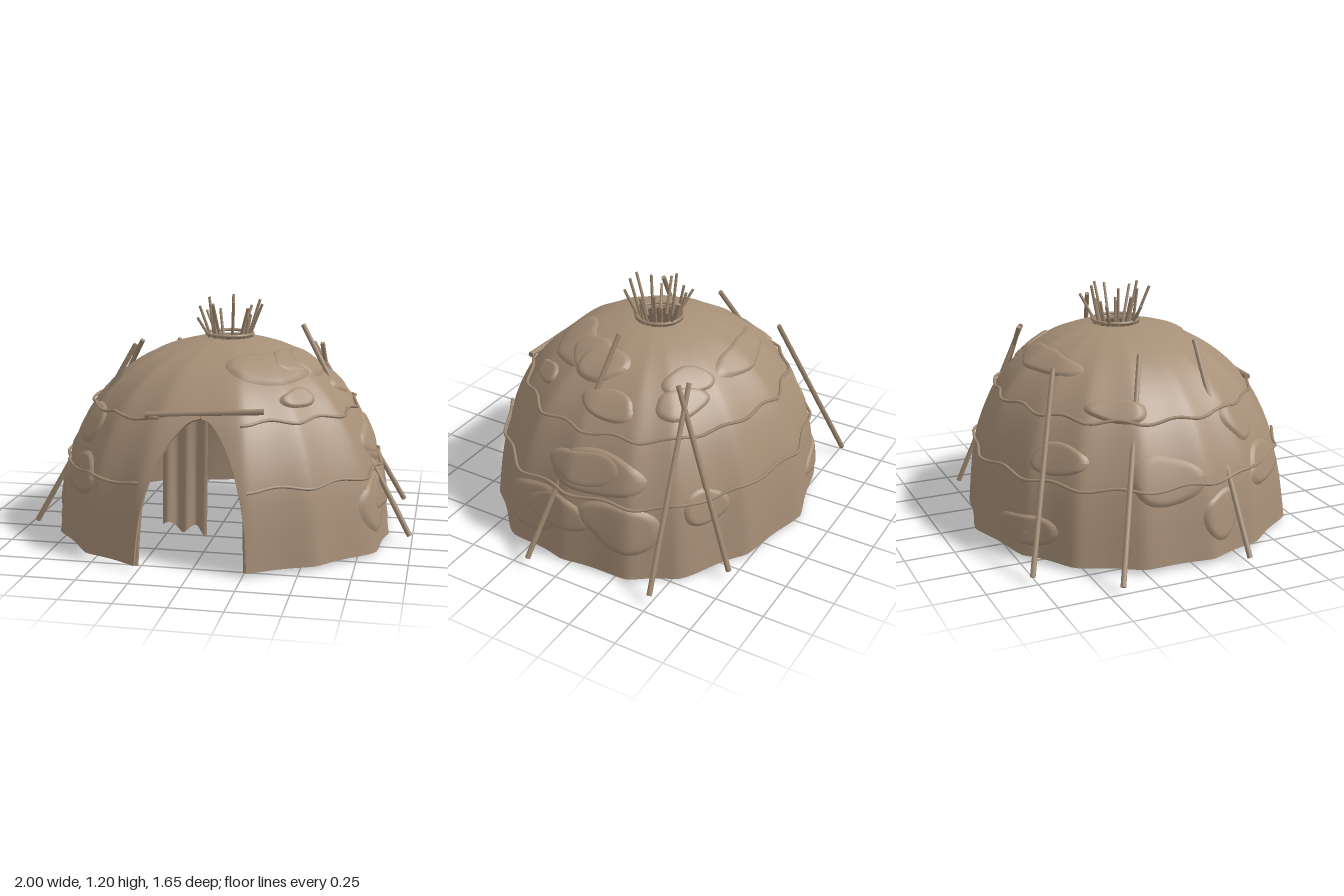
import * as THREE from 'three';
import { mergeGeometries } from 'three/addons/utils/BufferGeometryUtils.js';

const RAD = Math.PI / 180;
const V = (x, y, z) => new THREE.Vector3(x, y, z);

// Rib angles (from the front, towards +x) and the radius of the cover's foot there
const RIBS = [[18.2, .863], [41.7, .87], [66, .915], [86.7, .88], [110.6, .905], [126, .893], [152, .825], [183, .83],
  [212.6, .854], [232, .884], [253.6, .886], [276.6, .876], [296, .867], [321, .874], [341.8, .863]];

// Dome profile: radius, height
const profile = new THREE.CatmullRomCurve3([[.865, .02], [.85, .14], [.832, .26], [.8, .4], [.74, .55], [.665, .68],
  [.56, .8], [.45, .885], [.33, .945], [.2, .985], [.125, 1]].map(([r, y]) => V(r, y, 0)));
const LENGTH = profile.getLength();

function footRadius(deg) {
  const a = ((deg % 360) + 360) % 360, n = RIBS.length;
  let i = RIBS.findIndex(r => r[0] > a);
  if (i < 0) i = 0;
  const p = RIBS[(i + n - 1) % n], q = RIBS[i];
  const span = (q[0] - p[0] + 360) % 360, f = ((a - p[0] + 360) % 360) / span;
  const sag = Math.min(.05, .0013 * span) * Math.sin(Math.PI * f) ** 1.2;
  return [p[1] + (q[1] - p[1]) * f * f * (3 - 2 * f), sag];
}

// Point on the cover: angle in degrees, u from foot to smoke hole, d outwards
function surf(deg, u, d = 0) {
  u = THREE.MathUtils.clamp(u, 0, 1);
  const p = profile.getPointAt(u), t = profile.getTangentAt(u);
  const [foot, sag] = footRadius(deg);
  const r = p.x * (1 + (foot / .865 - 1) * (1 - u) - sag * (1 - .3 * u)) + d * t.y;
  const dip = .016 * Math.max(0, Math.cos((deg - 125) * RAD)) * (1 - u) ** 4;
  return V(r * Math.sin(deg * RAD) + .03 * u * u, p.y - dip - d * t.x, r * Math.cos(deg * RAD) - .02 * u * u);
}

function uAt(y) {
  let a = 0, b = 1;
  for (let i = 0; i < 20; i++) {
    const m = (a + b) / 2;
    if (profile.getPointAt(m).y < y) a = m; else b = m;
  }
  return a;
}

// Grid surface from a rule f(s, t)
function sheet(ns, nt, f) {
  const pos = [], idx = [];
  for (let j = 0; j <= nt; j++) for (let i = 0; i <= ns; i++) pos.push(...f(i / ns, j / nt).toArray());
  for (let j = 0; j < nt; j++) for (let i = 0; i < ns; i++) {
    const a = j * (ns + 1) + i, b = a + 1, c = b + ns + 1, d = c - 1;
    idx.push(a, b, c, a, c, d);
  }
  const g = new THREE.BufferGeometry();
  g.setAttribute('position', new THREE.Float32BufferAttribute(pos, 3));
  g.setIndex(idx);
  g.computeVertexNormals();
  return g;
}

export function createModel() {
  const model = new THREE.Group();
  const hide = new THREE.MeshStandardMaterial({ name: 'hide', color: 0xa68f77, side: THREE.DoubleSide });
  const wood = new THREE.MeshStandardMaterial({ name: 'wood', color: 0xa08a72 });
  const add = (name, geo, mat) => {
    const m = new THREE.Mesh(geo, mat);
    m.name = name;
    model.add(m);
    return m;
  };
  const pole = (name, a, b, r) => {
    const dir = b.clone().sub(a);
    const m = add(name, new THREE.CylinderGeometry(r * .9, r, dir.length(), 8), wood);
    m.position.copy(a).add(b).multiplyScalar(.5);
    m.quaternion.setFromUnitVectors(V(0, 1, 0), dir.normalize());
  };
  const tube = (name, pts, r, closed = false) =>
    add(name, new THREE.TubeGeometry(new THREE.CatmullRomCurve3(pts, closed), pts.length * 2, r, 6, closed), wood);

  // Dome cover with the door arch cut out by narrowing each row
  const doorHalf = u => {
    const y = profile.getPointAt(u).y;
    return y < .7 ? 18.2 * Math.sqrt(1 - (y / .7) ** 2.5) : 0;
  };
  const cover = (s, u, d) => {
    const a = doorHalf(u);
    return surf(a + (360 - 2 * a) * s, u, d);
  };
  const T = -.015, doorTop = uAt(.7);
  add('cover', mergeGeometries([
    sheet(200, 80, (s, t) => cover(s, t, 0)),
    sheet(200, 80, (s, t) => cover(1 - s, t, T)),
    sheet(200, 1, (s, t) => cover(s, 0, T * (1 - t))),
    sheet(200, 1, (s, t) => cover(s, 1, T * t)),
    sheet(1, 60, (s, t) => cover(0, t * doorTop, T * (1 - s))),
    sheet(1, 60, (s, t) => cover(1, t * doorTop, T * s)),
  ]), hide);

  // Overlapping patches: angle, height, half width, half height
  const patches = [[74, .24, .2, .14], [83, .26, .18, .1], [107, .27, .22, .12], [97, .5, .28, .11], [92, .51, .2, .1],
    [137, .35, .12, .1], [95, .78, .16, .08], [132, .8, .15, .08], [48, .77, .1, .06], [42, .9, .25, .13],
    [65, .91, .15, .1], [80, .9, .14, .11], [138, .87, .13, .09], [301, .61, .12, .11], [309, .37, .17, .1],
    [282, .22, .12, .13], [190, .87, .27, .09], [245, .72, .16, .06], [223, .5, .17, .08], [212, .15, .2, .08],
    [262, .42, .18, .13]];
  patches.forEach(([deg, y, w, h], k) => {
    const u0 = uAt(y), r0 = profile.getPointAt(u0).x;
    add('patch', sheet(36, 8, (s, t) => {
      const a = -s * Math.PI * 2, rho = 1 - t;
      const wob = rho * (1 + .09 * Math.sin(2 * a + k * 1.7) + .07 * Math.sin(3 * a + k * 2.9));
      const lift = rho > .99 ? -.006 : rho > .8 ? .009 : .011;
      return surf(deg + wob * w * Math.cos(a) / r0 / RAD, u0 + wob * h * Math.sin(a) / LENGTH, lift + (k % 3) * .002);
    }), hide);
  });

  // Ropes bound around the cover, open at the door
  for (const [y, a] of [[.39, 18.5], [.675, 17]]) {
    const pts = [];
    for (let i = 0; i <= 120; i++) {
      const deg = a + (360 - 2 * a) * i / 120;
      pts.push(surf(deg, uAt(y + .009 * Math.sin(deg * RAD * 15) + .008 * Math.cos(deg * RAD * 2)), .012));
    }
    tube('rope', pts, .008);
  }

  // Frame ribs inside, and their ends rising from the smoke hole
  RIBS.forEach(([deg], i) => {
    const pts = [];
    for (let j = 0; j <= 16; j++) pts.push(surf(deg, j / 16, -.022));
    tube('frameRib', pts, .011);
    const s = Math.sin(deg * RAD), c = Math.cos(deg * RAD), out = .15 + .035 * Math.sin(i * 2.3);
    pole('poleEnd', V(.03 + .09 * s, .97, -.02 + .09 * c),
      V(.03 + out * s, 1.15 + .05 * Math.sin(i * 1.9 + 1), -.02 + out * c), .008);
  });
  const hoop = [];
  for (let i = 0; i < 24; i++) hoop.push(V(.03 + .12 * Math.sin(i * 15 * RAD), 1.015, -.02 + .12 * Math.cos(i * 15 * RAD)));
  tube('smokeHoleHoop', hoop, .008, true);

  // Poles leaning on the outside
  [[-.73, .03, -.77, -.35, .9, -.51], [-.99, .03, -.43, -.46, .95, -.11], [-.95, .03, .25, -.41, .98, .21],
    [.58, .04, -.73, .47, .92, -.38], [.93, .04, -.49, .42, .92, -.41], [.99, .04, .17, .41, 1.07, -.02]]
    .forEach(p => pole('leaningPole', V(...p.slice(0, 3)), V(...p.slice(3)), .014));

  // Door lintel and hanging flap
  pole('lintel', V(-.26, .705, .605), V(.31, .74, .59), .016);
  add('doorFlap', sheet(32, 16, (s, t) => {
    const bottom = .145 + .02 * Math.sin(s * 11) + .025 * (1 - s);
    return V(-.175 + .22 * s, bottom + (.69 - bottom) * t,
      .595 + .025 * (1 - t) + .016 * Math.sin(s * 15) * (1 - .5 * t));
  }), hide);

  return model;
}
